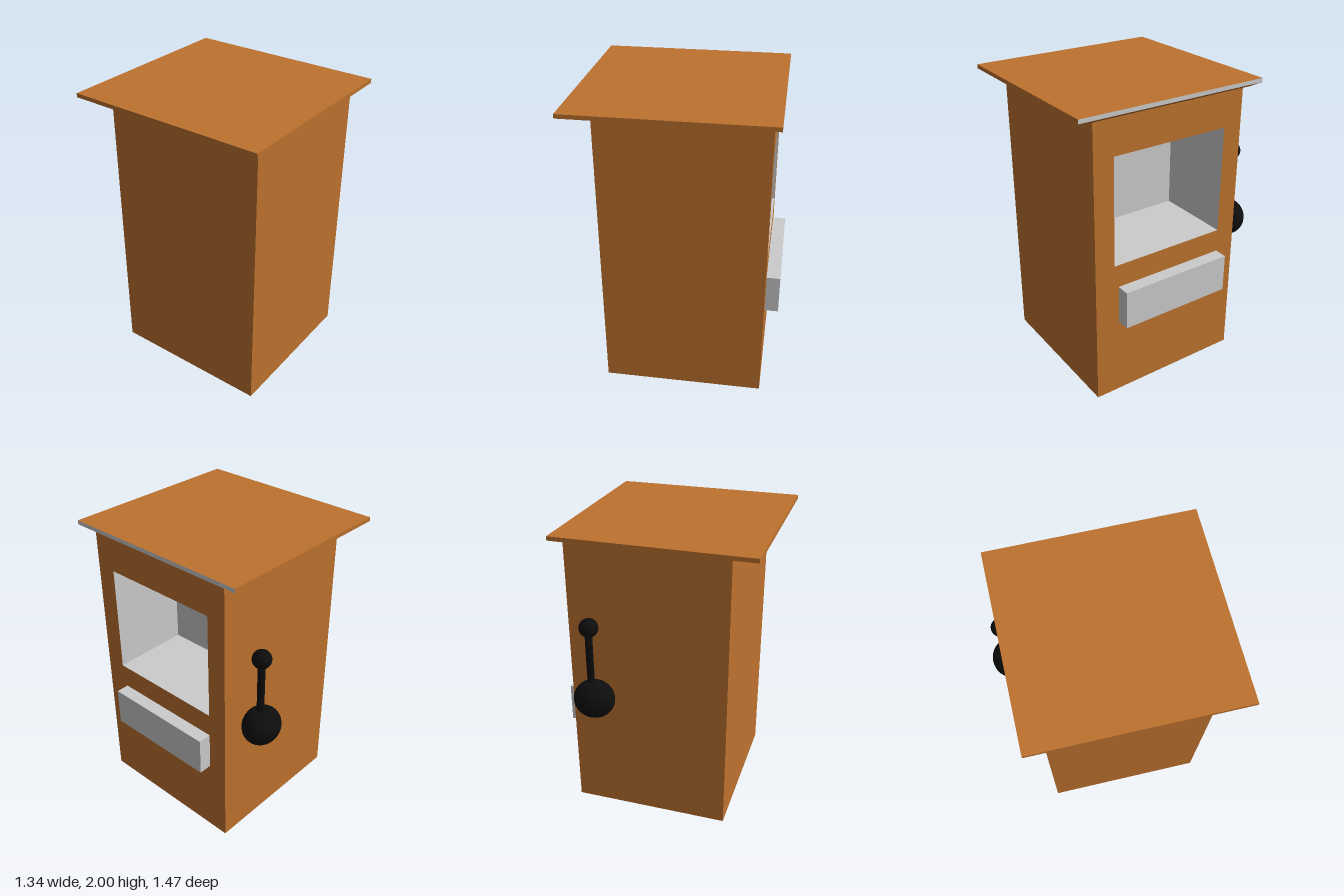
import * as THREE from 'three';

const wood = new THREE.MeshStandardMaterial({ color: 0xbd722e });
const black = new THREE.MeshStandardMaterial({ color: 0x0d0d0d });
const grey = new THREE.MeshStandardMaterial({ color: 0xcccccc });
const greyInside = new THREE.MeshStandardMaterial({ color: 0xcccccc, side: THREE.DoubleSide });

// Box given by its lower and upper limits on each axis
function boxBetween(x0, x1, y0, y1, z0, z1) {
  return new THREE.BoxGeometry(x1 - x0, y1 - y0, z1 - z0)
    .translate((x0 + x1) / 2, (y0 + y1) / 2, (z0 + z1) / 2);
}

// Drop the +x side (the first six indices) so the box is open there
function openRight(geometry) {
  geometry.setIndex(Array.from(geometry.index.array).slice(6));
  geometry.clearGroups();
  return geometry;
}

function rectangle(path, x0, x1, y0, y1) {
  path.moveTo(x0, y0);
  path.lineTo(x1, y0);
  path.lineTo(x1, y1);
  path.lineTo(x0, y1);
  path.closePath();
  return path;
}

export function createModel() {
  const model = new THREE.Group();
  const add = (name, geometry, material, parent = model) => {
    const mesh = new THREE.Mesh(geometry, material);
    mesh.name = name;
    parent.add(mesh);
    return mesh;
  };

  // Cabinet, closed on five sides
  add('cabinet', openRight(boxBetween(-0.49, 0.58, 0, 1.95, -0.49, 0.62)), wood);

  // Right panel with the opening cut out; its shape runs along -z
  const panel = rectangle(new THREE.Shape(), -0.62, 0.49, 0, 1.95);
  panel.holes.push(rectangle(new THREE.Path(), -0.48, 0.355, 0.975, 1.71));
  add('rightPanel', new THREE.ShapeGeometry(panel).rotateY(Math.PI / 2).translate(0.58, 0, 0), wood);

  // Recess lining behind the opening
  add('recess', openRight(boxBetween(0.04, 0.58, 0.975, 1.71, -0.355, 0.48)), greyInside);

  // Tray on the right side
  add('tray', boxBetween(0.58, 0.67, 0.55, 0.815, -0.355, 0.45), grey);

  // Roof slab with one grey edge, over a thin tapered underside
  const roof = new THREE.Group();
  roof.name = 'roof';
  model.add(roof);
  add('roofSlab', boxBetween(-0.67, 0.625, 1.973, 2, -0.61, 0.735),
    [grey, wood, wood, wood, wood, wood], roof);
  const taper = boxBetween(-0.67, 0.625, 1.95, 1.973, -0.61, 0.735);
  const p = taper.attributes.position;
  for (let i = 0; i < p.count; i++) {
    if (p.getY(i) > 1.96) continue;
    p.setX(i, p.getX(i) < 0 ? -0.565 : 0.59);
    p.setZ(i, p.getZ(i) < 0 ? -0.53 : 0.665);
  }
  taper.computeVertexNormals();
  add('roofUnderside', taper, wood, roof);

  // Lever on the back: hub, pivot, rod and knob
  const lever = new THREE.Group();
  lever.name = 'lever';
  model.add(lever);
  add('leverHub', new THREE.SphereGeometry(1, 32, 20)
    .scale(0.138, 0.13, 0.12).translate(0.372, 0.92, -0.615), black, lever);
  add('leverPivot', new THREE.CylinderGeometry(0.03, 0.03, 0.12, 20)
    .rotateX(Math.PI / 2).translate(0.375, 0.91, -0.55), black, lever);
  add('leverRod', new THREE.CylinderGeometry(0.024, 0.024, 0.5, 20)
    .translate(0.388, 1.18, -0.615), black, lever);
  add('leverKnob', new THREE.SphereGeometry(0.062, 32, 20)
    .translate(0.385, 1.43, -0.613), black, lever);

  return model;
}
